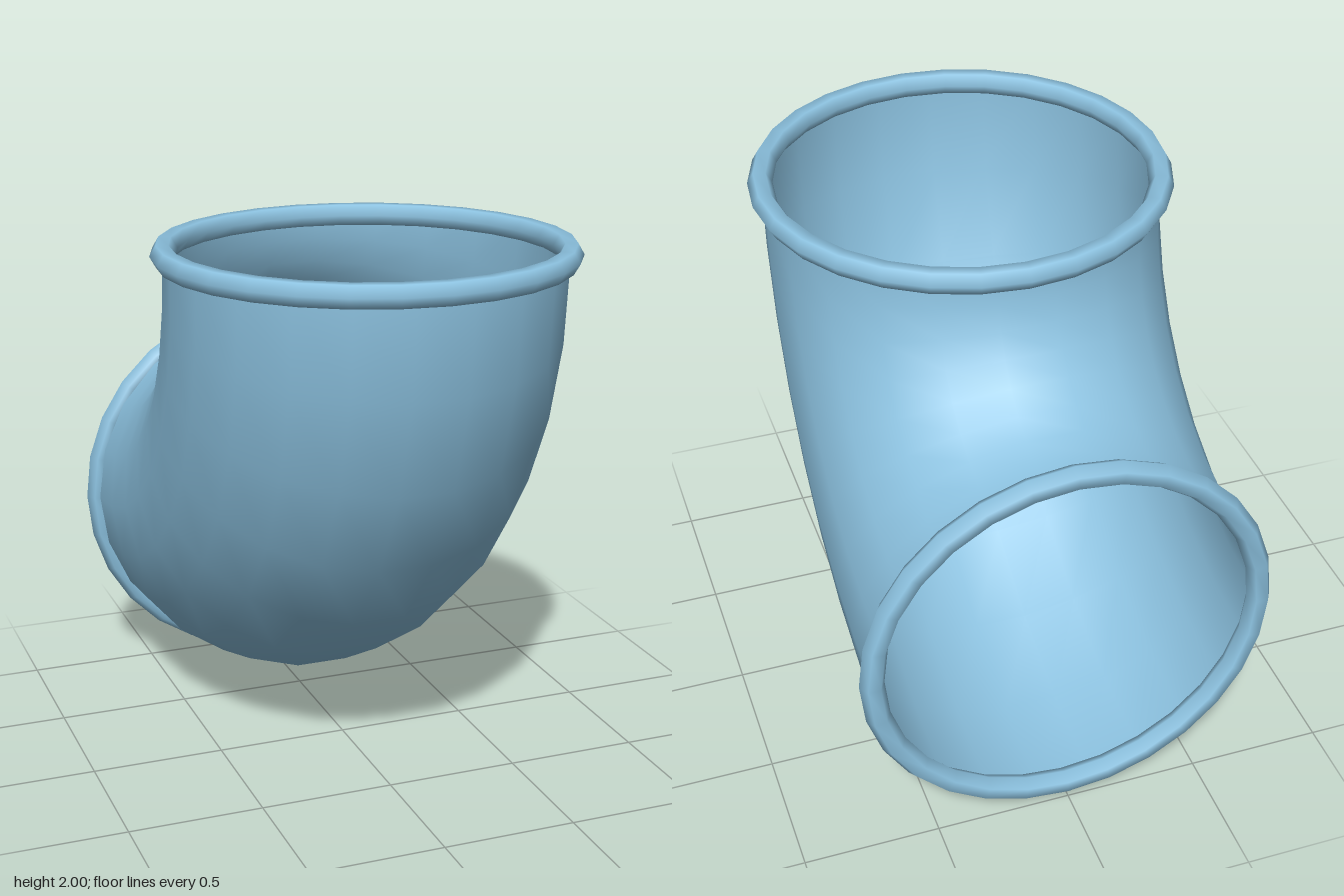
import * as THREE from 'three';
import { ParametricGeometry } from 'three/addons/geometries/ParametricGeometry.js';

const BEND = 1.198;    // bend radius of the elbow centreline
const PIPE = 0.715;    // pipe radius
const LIP = 0.045;     // rim thickness radius
const EDGE = 0.961;    // distance of the rim planes from the centre
const SIDES = 22;

export function createModel() {
  const group = new THREE.Group();
  group.name = 'pipeElbow';
  const blue = new THREE.MeshStandardMaterial({ color: 0x8cc2e0, side: THREE.DoubleSide });
  blue.name = 'light blue';

  // open quarter-bend pipe wall, from the top opening to the back opening
  const wall = new ParametricGeometry((u, v, target) => {
    const around = ((u * SIDES + 0.5) / SIDES) * Math.PI * 2;
    const along = (v * Math.PI) / 2;
    const r = BEND + PIPE * Math.cos(around);
    target.set(-PIPE * Math.sin(around), 1 + EDGE - r * Math.sin(along), -EDGE + r * Math.cos(along));
  }, SIDES, 8);
  const pipe = new THREE.Mesh(wall, blue);
  pipe.name = 'elbowPipe';
  group.add(pipe);

  // rounded rim at each opening
  const rimGeometry = new THREE.TorusGeometry(PIPE, LIP, 6, 28);
  const topRim = new THREE.Mesh(rimGeometry, blue);
  topRim.name = 'topRim';
  topRim.rotation.x = Math.PI / 2;
  topRim.position.set(0, 1 + EDGE, BEND - EDGE);
  const backRim = new THREE.Mesh(rimGeometry, blue);
  backRim.name = 'backRim';
  backRim.position.set(0, 1 + EDGE - BEND, -EDGE);
  group.add(topRim, backRim);

  return group;
}
